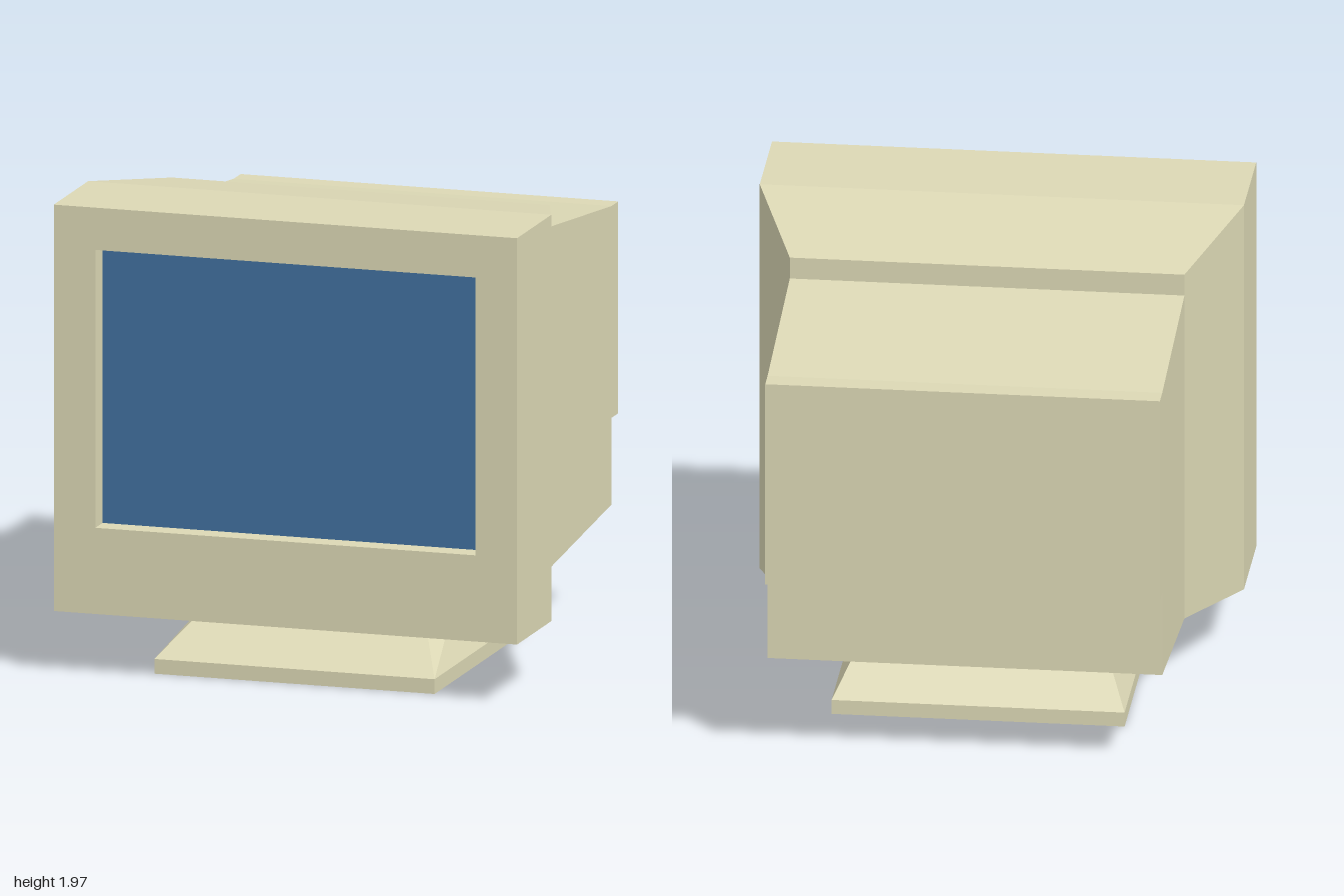
import * as THREE from 'three';

// Skin a list of four-cornered rings with flat faces and close the last one
function loft(rings) {
  const pos = [];
  const tri = (...points) => points.forEach((p) => pos.push(...p));
  for (let r = 0; r < rings.length - 1; r++) {
    for (let i = 0; i < 4; i++) {
      const j = (i + 1) % 4;
      const a = rings[r][i], b = rings[r][j], c = rings[r + 1][j], d = rings[r + 1][i];
      // Opposite diagonal on one side keeps the two sides mirrored
      if (i === 1) { tri(a, d, b); tri(b, d, c); }
      else { tri(a, d, c); tri(a, c, b); }
    }
  }
  const [p, q, s, t] = rings[rings.length - 1];
  tri(t, s, q);
  tri(t, q, p);
  const geometry = new THREE.BufferGeometry();
  geometry.setAttribute('position', new THREE.Float32BufferAttribute(pos, 3));
  geometry.computeVertexNormals();
  return geometry;
}

// Upright rectangle at depth z
const section = (z, w, y0, y1) => [[-w, y0, z], [w, y0, z], [w, y1, z], [-w, y1, z]];

// Level or tilted rectangle, with separate front and back heights
const layer = (w, zf, yf, zb, yb) => [[-w, yf, zf], [w, yf, zf], [w, yb, zb], [-w, yb, zb]];

export function createModel() {
  const model = new THREE.Group();
  const beige = new THREE.MeshStandardMaterial({ color: 0xdcd8b5, flatShading: true });
  const blue = new THREE.MeshStandardMaterial({ color: 0x41709f });

  const add = (name, geometry, material) => {
    const mesh = new THREE.Mesh(geometry, material);
    mesh.name = name;
    model.add(mesh);
    return mesh;
  };

  // Case, from the screen recess round the bezel to the stepped back
  add('case', loft([
    section(0.86, 0.82, 0.625, 1.795),
    section(0.955, 0.82, 0.625, 1.795),
    section(0.955, 1, 0.262, 1.973),
    section(0.5, 1, 0.262, 1.973),
    section(-0.045, 0.815, 0.352, 1.883),
    section(-0.045, 0.815, 0.352, 1.79),
    section(-0.865, 0.815, 0.443, 1.7),
    section(-0.865, 0.815, 0.808, 1.7),
    section(-0.955, 0.815, 0.808, 1.7),
  ]), beige);

  // Flat screen at the bottom of the recess
  const screen = add('screen', new THREE.PlaneGeometry(1.64, 1.17), blue);
  screen.position.set(0, 1.21, 0.86);

  // Sloping stand on a thin foot plate
  add('stand', loft([
    layer(0.45, 0.5, 0.262, -0.045, 0.352),
    layer(0.605, 0.835, 0.062, -0.378, 0.062),
    layer(0.605, 0.835, 0, -0.378, 0),
  ]), beige);

  return model;
}
